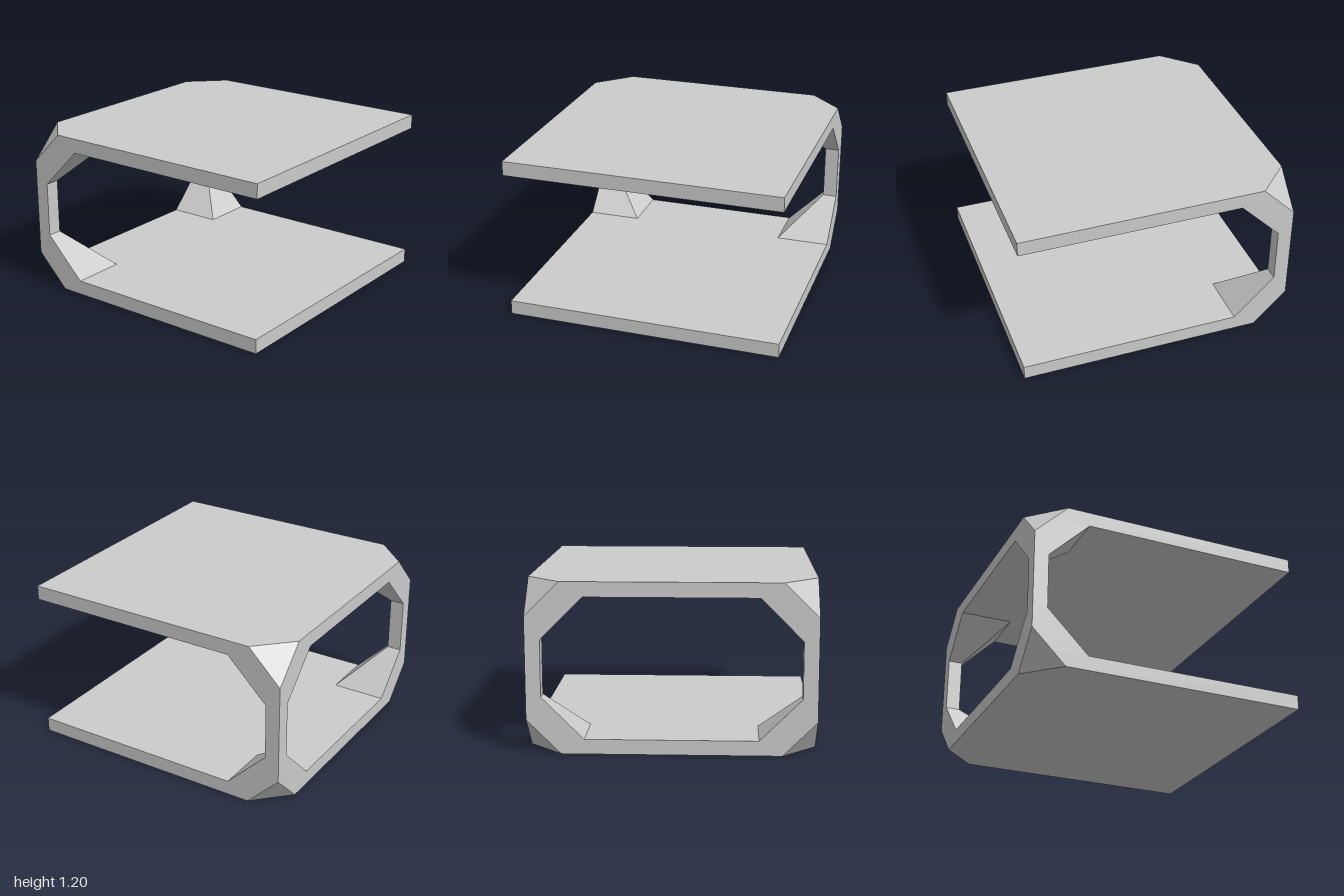
import * as THREE from 'three';

const HEIGHT = 1.2, THICK = 0.105, CUT = 0.24, FOOT = 0.4;

// Joins rings of [x, z] points (counter-clockwise from above) at given heights
function loft(levels, capped) {
  const rings = levels.map(({ y, ring }) => ring.map(([x, z]) => new THREE.Vector3(x, y, z)));
  const pos = [];
  const tri = (a, b, c) => {
    if (new THREE.Triangle(a, b, c).getArea() < 1e-7) return;
    for (const p of [a, b, c]) pos.push(p.x, p.y, p.z);
  };
  for (let k = 0; k < rings.length - 1; k++) {
    const lo = rings[k], hi = rings[k + 1];
    lo.forEach((a, i) => {
      const j = (i + 1) % lo.length;
      tri(a, lo[j], hi[j]);
      tri(a, hi[j], hi[i]);
    });
  }
  if (capped) {
    const lo = rings[0], hi = rings[rings.length - 1];
    for (let i = 1; i < lo.length - 1; i++) {
      tri(lo[0], lo[i + 1], lo[i]);
      tri(hi[0], hi[i], hi[i + 1]);
    }
  }
  const g = new THREE.BufferGeometry();
  g.setAttribute('position', new THREE.Float32BufferAttribute(pos, 3));
  g.computeVertexNormals();
  return g;
}

// Square plate with its two back corners cut by c
const plateRing = (c) => [[1, 1], [1, c - 1], [1 - c, -1], [c - 1, -1], [-1, c - 1], [-1, 1]];

// Square post section of side s in the back corner, outer corner cut by c
const postRing = (s, c) => [[1, c - 1], [1 - c, -1], [1 - s, -1], [1 - s, s - 1], [1, s - 1]];

export function createModel() {
  const model = new THREE.Group();
  model.name = 'cornerFrame';
  const material = new THREE.MeshStandardMaterial({ color: 0xcccccc, flatShading: true });
  const add = (name, geometry) => {
    const mesh = new THREE.Mesh(geometry, material);
    mesh.name = name;
    model.add(mesh);
    return mesh;
  };

  // Bottom plate, and the same plate turned over for the top
  const plate = loft([
    { y: 0, ring: plateRing(CUT) },
    { y: THICK, ring: plateRing(CUT - THICK) },
  ], true);
  add('bottomPlate', plate);
  const top = add('topPlate', plate);
  top.rotation.z = Math.PI;
  top.position.y = HEIGHT;

  // Back corner posts, flaring into both plates
  const lower = [
    { y: THICK, ring: postRing(FOOT, CUT - THICK) },
    { y: CUT, ring: postRing(FOOT + THICK - CUT, 0) },
    { y: FOOT, ring: postRing(THICK, 0) },
  ];
  const upper = lower.map(({ y, ring }) => ({ y: HEIGHT - y, ring })).reverse();
  const post = loft([...lower, ...upper], false);
  add('leftPost', post);
  add('rightPost', post).rotation.y = Math.PI / 2;

  return model;
}
